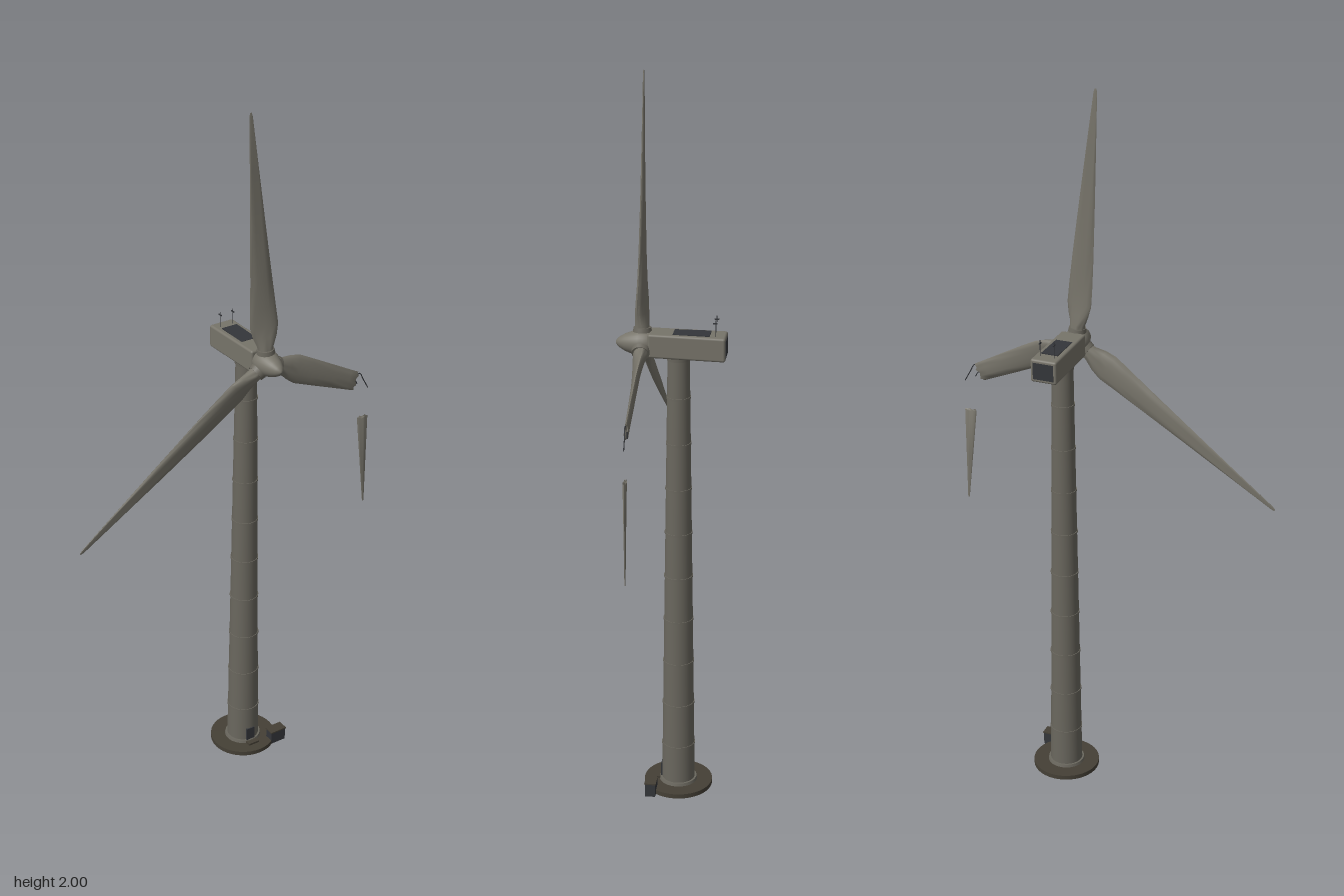
import * as THREE from 'three';
import { toCreasedNormals } from 'three/addons/utils/BufferGeometryUtils.js';
import { RoundedBoxGeometry } from 'three/addons/geometries/RoundedBoxGeometry.js';

const mat = (color) => new THREE.MeshStandardMaterial({ color });
const AXIS_X = 0.115, TOWER_Z = -0.022, HUB_Y = 1.302, ROTOR_Z = 0.073;

function add(parent, name, geometry, material, x = 0, y = 0, z = 0) {
  const mesh = new THREE.Mesh(geometry, material);
  mesh.name = name;
  mesh.position.set(x, y, z);
  parent.add(mesh);
  return mesh;
}

// Closed aerofoil loft along y; each section is [y, chord, thickness, twist, xOffset].
// jag roughens the rim of the end given by jagRow.
function loft(sections, jag = 0, jagRow = -1) {
  const N = 16, pos = [], idx = [];
  sections.forEach(([y, chord, thick, twist, ox = 0], row) => {
    for (let i = 0; i < N; i++) {
      const a = (i / N) * Math.PI * 2;
      const x = (Math.cos(a) * chord) / 2;
      const flat = Math.min(1, thick / chord);
      // thinner towards the trailing edge where the section is slender
      const z = ((Math.sin(a) * thick) / 2) * (1 + 0.3 * (1 - flat) * Math.cos(a));
      const dy = row === jagRow ? jag * Math.sin(i * 2.4) : 0;
      pos.push(ox + x * Math.cos(twist) - z * Math.sin(twist), y + dy, x * Math.sin(twist) + z * Math.cos(twist));
    }
  });
  const last = sections.length - 1;
  for (let r = 0; r < last; r++) {
    for (let i = 0; i < N; i++) {
      const a = r * N + i, b = r * N + ((i + 1) % N);
      idx.push(a, a + N, b, b, a + N, b + N);
    }
  }
  for (const row of [0, last]) {
    const c = pos.length / 3;
    pos.push(sections[row][4] || 0, sections[row][0], 0);
    for (let i = 0; i < N; i++) {
      const a = row * N + i, b = row * N + ((i + 1) % N);
      if (row === 0) idx.push(c, a, b);
      else idx.push(c, b, a);
    }
  }
  const g = new THREE.BufferGeometry();
  g.setAttribute('position', new THREE.Float32BufferAttribute(pos, 3));
  g.setIndex(idx);
  return toCreasedNormals(g, 0.9);
}

export function createModel() {
  const model = new THREE.Group();
  model.name = 'windTurbine';
  const shell = mat(0x77746a), steel = mat(0x6a675e), base = mat(0x454036), dark = mat(0x34363a);

  // Foundation slab and base collar
  add(model, 'foundation', new THREE.CylinderGeometry(0.095, 0.095, 0.013, 40), base, AXIS_X, 0.0065, TOWER_Z);
  add(model, 'towerCollar', new THREE.CylinderGeometry(0.051, 0.053, 0.008, 40), steel, AXIS_X, 0.017, TOWER_Z);

  // Tapered tower with a flange at each section joint
  const rBottom = 0.046, rTop = 0.029, h0 = 0.012, h1 = 1.275;
  const radiusAt = (y) => THREE.MathUtils.lerp(rBottom, rTop, (y - h0) / (h1 - h0));
  add(model, 'tower', new THREE.CylinderGeometry(rTop, rBottom, h1 - h0, 36, 10), steel, AXIS_X, (h0 + h1) / 2, TOWER_Z);
  for (let i = 1; i < 10; i++) {
    const y = i * 0.1285, r = radiusAt(y) + 0.0018;
    add(model, 'towerFlange', new THREE.CylinderGeometry(r, r, 0.006, 36), steel, AXIS_X, y, TOWER_Z);
  }

  // Entrance door and transformer cabinet
  add(model, 'door', new THREE.BoxGeometry(0.027, 0.048, 0.012), dark, AXIS_X - 0.003, 0.036, 0.02);
  add(model, 'doorStep', new THREE.BoxGeometry(0.034, 0.01, 0.024), base, AXIS_X - 0.003, 0.014, 0.032);
  add(model, 'cabinet', new THREE.BoxGeometry(0.048, 0.038, 0.028), dark, 0.188, 0.021, 0.046);
  add(model, 'cabinetRoof', new THREE.BoxGeometry(0.052, 0.004, 0.032), base, 0.188, 0.042, 0.046);

  // Nacelle, narrowing slightly towards the rotor
  const body = new RoundedBoxGeometry(0.074, 0.064, 0.202, 3, 0.006);
  const p = body.attributes.position;
  for (let i = 0; i < p.count; i++) {
    const t = p.getZ(i) / 0.202 + 0.5;
    p.setX(i, p.getX(i) * (1 - 0.06 * t));
    p.setY(i, p.getY(i) + 0.004 * (t - 0.5));
  }
  const nacelle = new THREE.Group();
  nacelle.name = 'nacelle';
  model.add(nacelle);
  add(nacelle, 'nacelleBody', body, shell, AXIS_X, 1.301, -0.046);
  add(nacelle, 'roofHatch', new THREE.BoxGeometry(0.047, 0.003, 0.096), dark, AXIS_X, 1.333, -0.057);
  add(nacelle, 'rearVent', new THREE.BoxGeometry(0.058, 0.046, 0.002), dark, AXIS_X, 1.299, -0.147);
  add(nacelle, 'yawBearing', new THREE.CylinderGeometry(0.032, 0.031, 0.016, 36), steel, AXIS_X, 1.268, TOWER_Z);

  // Wind instruments on the roof
  for (const s of [-1, 1]) {
    const x = AXIS_X + s * 0.02;
    add(nacelle, 'instrumentMast', new THREE.CylinderGeometry(0.001, 0.001, 0.046, 6), dark, x, 1.353, -0.119);
    add(nacelle, 'instrumentHead', new THREE.BoxGeometry(0.003, 0.003, 0.012), dark, x, 1.367, -0.119);
  }

  // Rotor: spinner, hub and blades
  const rotor = new THREE.Group();
  rotor.name = 'rotor';
  rotor.position.set(AXIS_X, HUB_Y, ROTOR_Z);
  model.add(rotor);
  const profile = [[0, -0.03], [0.026, -0.03], [0.033, -0.02], [0.036, -0.004], [0.035, 0.01], [0.03, 0.026], [0.023, 0.045], [0.014, 0.06], [0.006, 0.068], [0, 0.07]];
  const spinner = new THREE.LatheGeometry(profile.map(([x, y]) => new THREE.Vector2(x, y)), 32);
  add(rotor, 'spinner', spinner.rotateX(Math.PI / 2), shell);

  const root = [[0.018, 0.042, 0.04, 0.35], [0.05, 0.044, 0.036, 0.35], [0.08, 0.066, 0.027, 0.3], [0.11, 0.078, 0.021, 0.24], [0.16, 0.073, 0.017, 0.17], [0.24, 0.064, 0.014, 0.11]];
  const whole = [...root, [0.4, 0.045, 0.01, 0.05], [0.55, 0.027, 0.007, 0.02], [0.69, 0.01, 0.004, 0], [0.7, 0.005, 0.002, 0]];
  const snapped = [...root, [0.3, 0.057, 0.012, 0.08], [0.325, 0.054, 0.012, 0.08]];
  const start = THREE.MathUtils.degToRad(4.7);
  for (let i = 0; i < 3; i++) {
    const angle = start + (i * Math.PI * 2) / 3;
    const broken = i === 2;
    const blade = add(rotor, broken ? 'brokenBlade' : 'blade', broken ? loft(snapped, 0.006, snapped.length - 1) : loft(whole), shell);
    blade.rotation.z = angle;
    const cuff = add(rotor, 'bladeCuff', new THREE.CylinderGeometry(0.023, 0.025, 0.012, 24), steel);
    cuff.position.set(-Math.sin(angle) * 0.036, Math.cos(angle) * 0.036, 0);
    cuff.rotation.z = angle;
  }

  // Torn strands hanging from the snapped blade
  const strands = [
    [[0.405, 1.175, 0.073], [0.424, 1.183, 0.074], [0.438, 1.16, 0.073], [0.455, 1.13, 0.073]],
    [[0.4, 1.165, 0.071], [0.412, 1.163, 0.07], [0.42, 1.15, 0.069]],
  ];
  for (const pts of strands) {
    const curve = new THREE.CatmullRomCurve3(pts.map((q) => new THREE.Vector3(...q)));
    add(model, 'tornStrand', new THREE.TubeGeometry(curve, 16, 0.0014, 6), dark);
  }

  // Detached blade tip below the break
  const tip = [[0.765, 0.005, 0.003, 0, 0.4555], [0.9, 0.02, 0.006, 0, 0.448], [1.042, 0.036, 0.01, 0, 0.44]];
  add(model, 'detachedBladeTip', loft(tip, 0.003, 2), shell, 0, 0, ROTOR_Z);

  return model;
}
